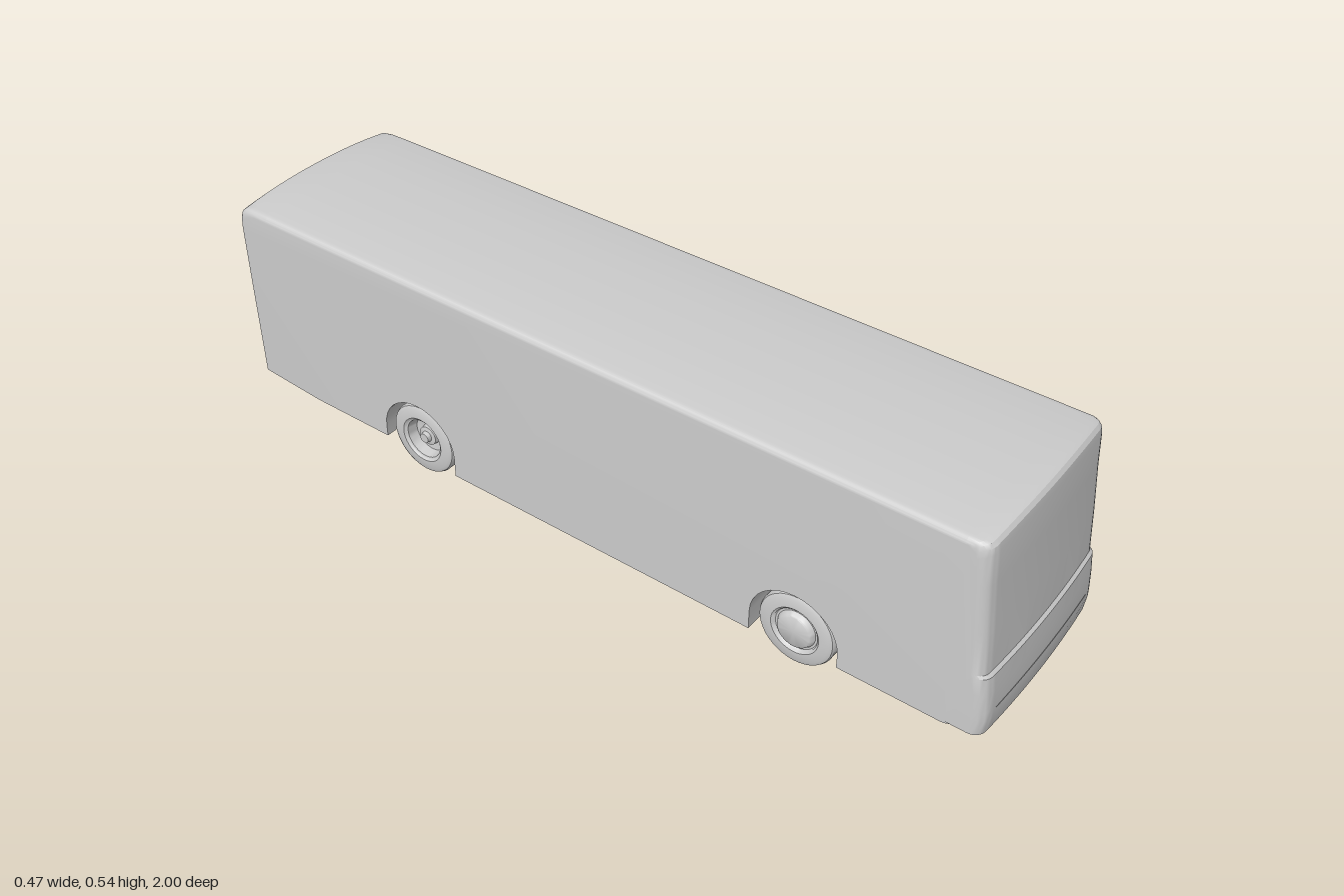
import * as THREE from 'three';
import { toCreasedNormals } from 'three/addons/utils/BufferGeometryUtils.js';

const HALF = 0.236;          // half body width
const AXLES = [0.56, -0.465]; // front and rear axle z
const AXLE_Y = 0.091;
const material = new THREE.MeshStandardMaterial({ color: 0xcccccc, side: THREE.DoubleSide });

const clamp01 = (v) => Math.min(1, Math.max(0, v));

// Quarter-round drop-off within r of the body side
function corner(x, r) {
  const d = Math.min(r, Math.max(0, Math.abs(x) - (HALF - r)));
  return r - Math.sqrt(r * r - d * d);
}
const frontInset = (x) => 0.01 * (x / HALF) ** 2 + corner(x, 0.026);
const rearInset = (x) => 0.008 * (x / HALF) ** 2 + corner(x, 0.014);
const roofDrop = (x) => 0.013 * Math.abs(x / HALF) ** 2.3 + corner(x, 0.012);

function addMesh(parent, name, geometry) {
  const mesh = new THREE.Mesh(geometry, material);
  mesh.name = name;
  parent.add(mesh);
  return mesh;
}

// Wheel arch outline as [z, y] points, running rearwards
function archPoints(z) {
  const points = [];
  for (let i = 0; i <= 16; i++) {
    const a = (Math.PI * i) / 16;
    points.push([z + 0.106 * Math.cos(a), AXLE_Y + 0.102 * Math.sin(a)]);
  }
  return points;
}

// Side profile swept across the width, then bowed at nose, tail and roof
function bodyGeometry() {
  const outline = [
    [0.996, 0.064], [0.94, 0.064], [0.94, 0.058], [AXLES[0] + 0.106, 0.058],
    ...archPoints(AXLES[0]),
    [AXLES[0] - 0.106, 0.041], [AXLES[1] + 0.106, 0.041],
    ...archPoints(AXLES[1]),
    [AXLES[1] - 0.106, 0.058], [-0.8, 0.058], [-0.994, 0.07],
    [-0.998, 0.3], [-1, 0.48], [-0.998, 0.51], [-0.992, 0.528], [-0.98, 0.538],
    [-0.955, 0.542], [-0.9, 0.543],
    [0.9, 0.543], [0.94, 0.543], [0.95, 0.54], [0.957, 0.532], [0.96, 0.515],
    [0.965, 0.435], [0.976, 0.32], [0.984, 0.218], [0.991, 0.212],
    [0.996, 0.17], [0.999, 0.125], [1, 0.1],
  ];
  const shape = new THREE.Shape(outline.map(([z, y]) => new THREE.Vector2(z, y)));
  const geometry = new THREE.ExtrudeGeometry(shape, { depth: 1, steps: 40, bevelEnabled: false });
  const p = geometry.attributes.position;
  for (let i = 0; i < p.count; i++) {
    const x = HALF * Math.sin(Math.PI * (0.5 - p.getZ(i)));
    let y = p.getY(i);
    let z = p.getX(i);
    const ends = clamp01((Math.abs(z) - 0.9) / 0.04);
    z -= z > 0 ? ends * frontInset(x) : -ends * rearInset(x);
    y -= roofDrop(x) * clamp01((y - 0.435) / 0.1);
    p.setXYZ(i, x, y, z);
  }
  return toCreasedNormals(geometry, 0.5);
}

// Thin lens-shaped crease across the bumper, following the nose
function bumperCrease() {
  const shape = new THREE.Shape();
  for (let i = 0; i <= 24; i++) {
    const t = -1 + i / 12;
    const y = 0.121 + 0.004 * (1 - t * t);
    if (i) shape.lineTo(0.193 * t, y);
    else shape.moveTo(0.193 * t, y);
  }
  const geometry = new THREE.ExtrudeGeometry(shape, { depth: 0.006, bevelEnabled: false });
  const p = geometry.attributes.position;
  for (let i = 0; i < p.count; i++) {
    p.setZ(i, p.getZ(i) + 0.994 - frontInset(p.getX(i)));
  }
  geometry.computeVertexNormals();
  return geometry;
}

// Wheel turned about its axle; profile points are [radius, outward offset]
function turned(points) {
  const lathe = new THREE.LatheGeometry(points.map(([r, o]) => new THREE.Vector2(r, o)), 40);
  lathe.rotateZ(-Math.PI / 2);
  return toCreasedNormals(lathe, 0.6);
}

const tyre = turned([
  [0.05, 0], [0.082, 0], [0.088, 0.004], [0.091, 0.01], [0.091, 0.04],
  [0.088, 0.046], [0.08, 0.05], [0.058, 0.051], [0.053, 0.047],
]);
const frontHub = turned([
  [0.055, 0.047], [0.051, 0.043], [0.046, 0.043], [0.041, 0.053], [0.038, 0.055], [0, 0.055],
]);
const rearHub = turned([
  [0.055, 0.047], [0.05, 0.045], [0.045, 0.02], [0.026, 0.018], [0.024, 0.032],
  [0.014, 0.034], [0.012, 0.044], [0, 0.044],
]);
const backPlate = turned([[0, 0.003], [0.05, 0.003], [0.052, 0]]);

function makeWheel(name, hub) {
  const wheel = new THREE.Group();
  wheel.name = name;
  addMesh(wheel, 'tyre', tyre);
  addMesh(wheel, 'hub', hub);
  addMesh(wheel, 'backPlate', backPlate);
  return wheel;
}

export function createModel() {
  const bus = new THREE.Group();
  bus.name = 'bus';
  addMesh(bus, 'body', bodyGeometry());
  addMesh(bus, 'bumperCrease', bumperCrease());

  // Floor between the wheel wells
  for (const z of AXLES) {
    addMesh(bus, 'wheelWellFloor', new THREE.BoxGeometry(0.25, 0.14, 0.213))
      .position.set(0, 0.128, z);
  }

  // Single front wheels and twin rear wheels
  for (const side of [1, -1]) {
    const place = (wheel, x, z) => {
      wheel.position.set(side * x, AXLE_Y, z);
      if (side < 0) wheel.rotation.y = Math.PI;
      bus.add(wheel);
    };
    place(makeWheel('frontWheel', frontHub), 0.178, AXLES[0]);
    place(makeWheel('rearOuterWheel', rearHub), 0.178, AXLES[1]);
    place(makeWheel('rearInnerWheel', rearHub), 0.128, AXLES[1]);
  }
  return bus;
}
